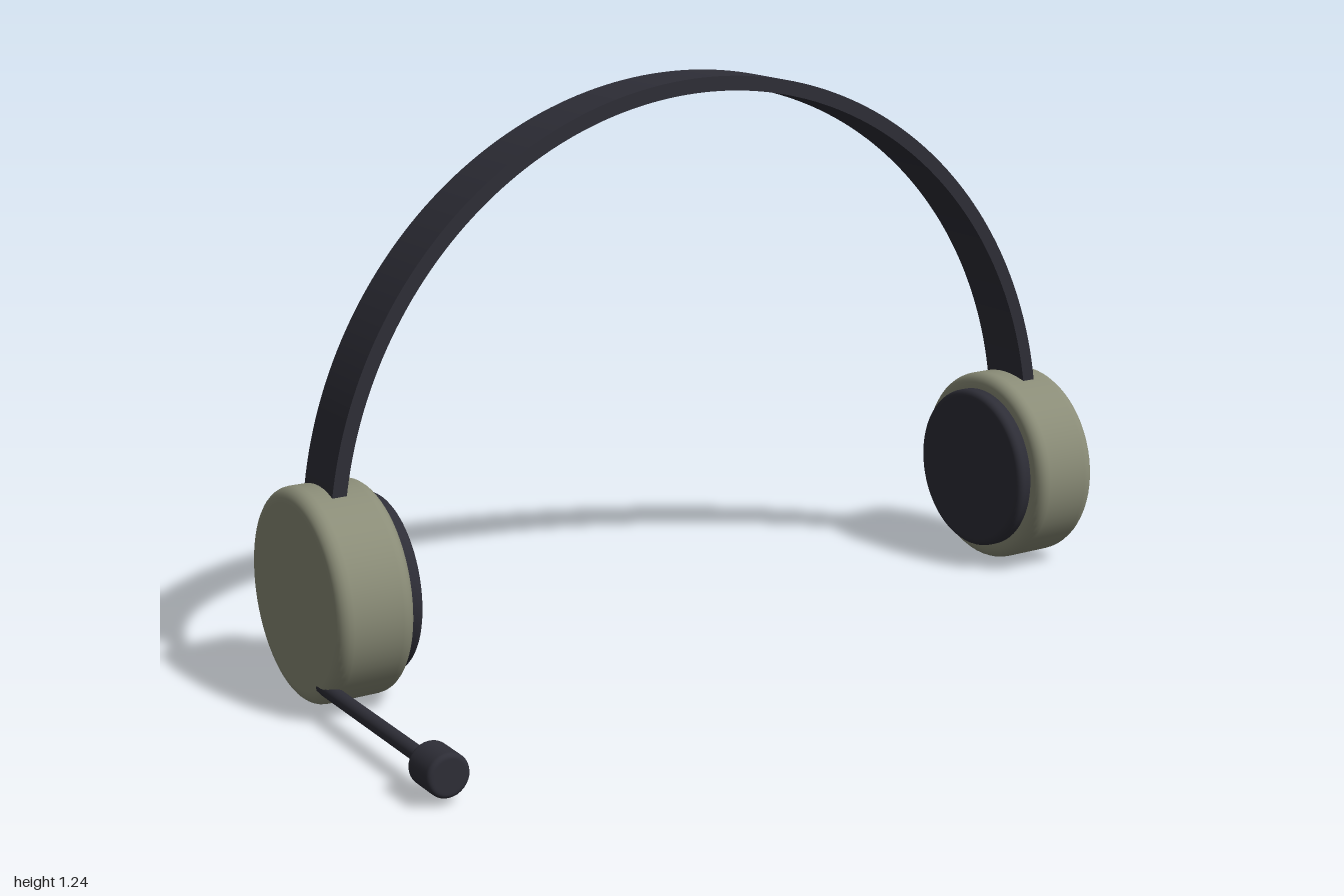
import * as THREE from 'three';

const olive = new THREE.MeshStandardMaterial({ name: 'olive shell', color: 0x8b8d78 });
const charcoal = new THREE.MeshStandardMaterial({ name: 'charcoal', color: 0x2e2e37 });

const CX = 0.015; // middle of the band
const CY = 0.228; // height of the ear cups
const CZ = -0.217; // depth of the ear cups

// Disc along y, centred at the origin, with rounded rims
function roundedDisc(radius, height, bevel, segments = 64) {
  const h = height / 2, e = 0.003, steps = 6;
  const points = [new THREE.Vector2(0, -h), new THREE.Vector2(radius - bevel - e, -h)];
  for (const side of [-1, 1]) {
    for (let i = 0; i <= steps; i++) {
      const a = (side < 0 ? i / steps - 1 : i / steps) * Math.PI / 2;
      points.push(new THREE.Vector2(
        radius - bevel + bevel * Math.cos(a),
        side * (h - bevel) + bevel * Math.sin(a)));
    }
    if (side < 0) points.push(new THREE.Vector2(radius, -h + bevel + e), new THREE.Vector2(radius, h - bevel - e));
  }
  points.push(new THREE.Vector2(radius - bevel - e, h), new THREE.Vector2(0, h));
  return new THREE.LatheGeometry(points, segments);
}

function part(parent, name, geometry, material, x, y, z) {
  const mesh = new THREE.Mesh(geometry, material);
  mesh.name = name;
  mesh.position.set(x, y, z);
  parent.add(mesh);
  return mesh;
}

export function createModel() {
  const model = new THREE.Group();
  model.name = 'headset';

  // Headband: flat strip bent into a half circle, ends tucked into the cups
  const start = -0.06, end = Math.PI + 0.06;
  const arch = new THREE.Shape();
  arch.absarc(0, 0, 0.931, start, end, false);
  arch.absarc(0, 0, 0.899, end, start, true);
  const band = new THREE.ExtrudeGeometry(arch, { depth: 0.136, bevelEnabled: false, curveSegments: 64 });
  // Smooth the curved faces radially, leaving the flat sides and ends crisp
  const p = band.attributes.position, n = band.attributes.normal;
  for (let i = 0; i < p.count; i++) {
    const r = Math.hypot(p.getX(i), p.getY(i));
    const dot = (n.getX(i) * p.getX(i) + n.getY(i) * p.getY(i)) / r;
    if (Math.abs(n.getZ(i)) < 0.5 && Math.abs(dot) > 0.9) {
      const s = Math.sign(dot) / r;
      n.setXYZ(i, p.getX(i) * s, p.getY(i) * s, 0);
    }
  }
  part(model, 'headband', band, charcoal, CX, 0.309, CZ - 0.068);

  // Ear cups with cushions on the inner side
  const shell = roundedDisc(0.228, 0.17, 0.028);
  const cushion = roundedDisc(0.192, 0.08, 0.016);
  for (const [side, label] of [[1, 'left'], [-1, 'right']]) {
    const ear = new THREE.Group();
    ear.name = label + 'Earpiece';
    ear.position.set(CX, CY, CZ);
    part(ear, label + 'EarCup', shell, olive, side * 0.9, 0, 0).rotation.z = -side * Math.PI / 2;
    part(ear, label + 'EarCushion', cushion, charcoal, side * 0.821, 0, 0).rotation.z = -side * Math.PI / 2;
    model.add(ear);
  }

  // Microphone boom running forward from the right cup
  const boom = new THREE.CylinderGeometry(0.016, 0.016, 0.5, 20);
  part(model, 'microphoneBoom', boom, charcoal, -0.955, 0.06, 0.13).rotation.x = Math.PI / 2;
  const tip = roundedDisc(0.045, 0.09, 0.01, 32);
  part(model, 'microphoneTip', tip, charcoal, -0.955, 0.06, 0.4).rotation.x = Math.PI / 2;

  return model;
}
